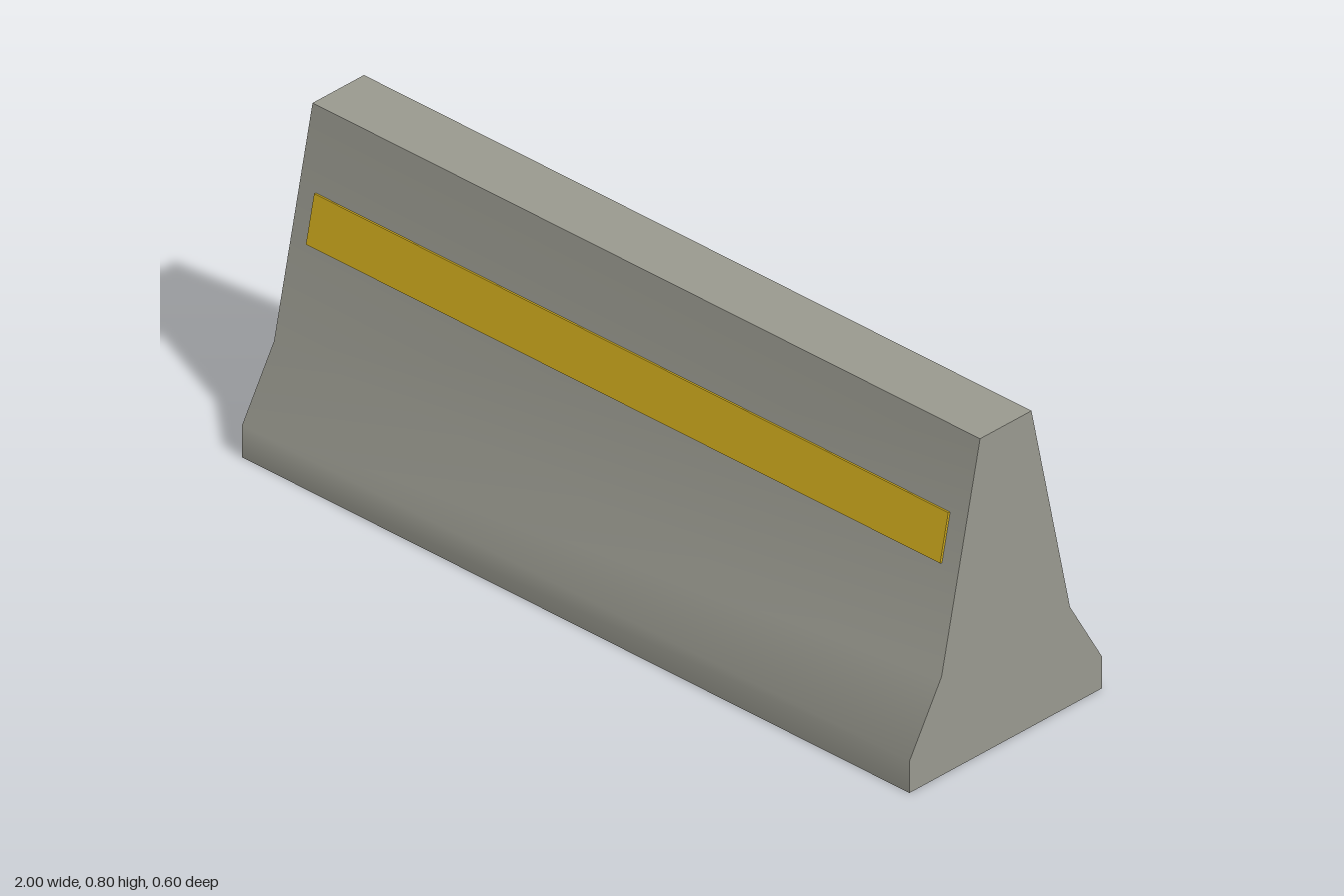
import * as THREE from 'three';
import { toCreasedNormals } from 'three/addons/utils/BufferGeometryUtils.js';

export function createModel() {
  const model = new THREE.Group();
  model.name = 'roadBarrier';

  const concrete = new THREE.MeshStandardMaterial({ color: 0x9a9a90 });
  concrete.name = 'concrete';
  const yellow = new THREE.MeshStandardMaterial({ color: 0xd4af1e });
  yellow.name = 'reflective yellow';

  // Barrier body: mirrored half profile (half depth, height), extruded along its length
  const half = [[0.3, 0], [0.3, 0.08], [0.2, 0.25], [0.08, 0.8]];
  const mirrored = half.map(([d, y]) => [-d, y]).reverse();
  const profile = new THREE.Shape([...half, ...mirrored].map(([d, y]) => new THREE.Vector2(d, y)));
  const solid = new THREE.ExtrudeGeometry(profile, { depth: 2, bevelEnabled: false });
  solid.translate(0, 0, -1).rotateY(Math.PI / 2);
  // Soft transitions between the sloped faces, sharp top, base and ends
  const body = new THREE.Mesh(toCreasedNormals(solid, 0.6), concrete);
  body.name = 'barrierBody';
  model.add(body);

  // Thin stripe lying on the upper front slope
  const stripe = new THREE.Mesh(new THREE.BoxGeometry(1.9, 0.12, 0.008), yellow);
  stripe.name = 'frontStripe';
  stripe.position.set(0, 0.553, 0.136);
  stripe.rotation.x = -Math.atan2(0.12, 0.55);
  model.add(stripe);

  return model;
}
